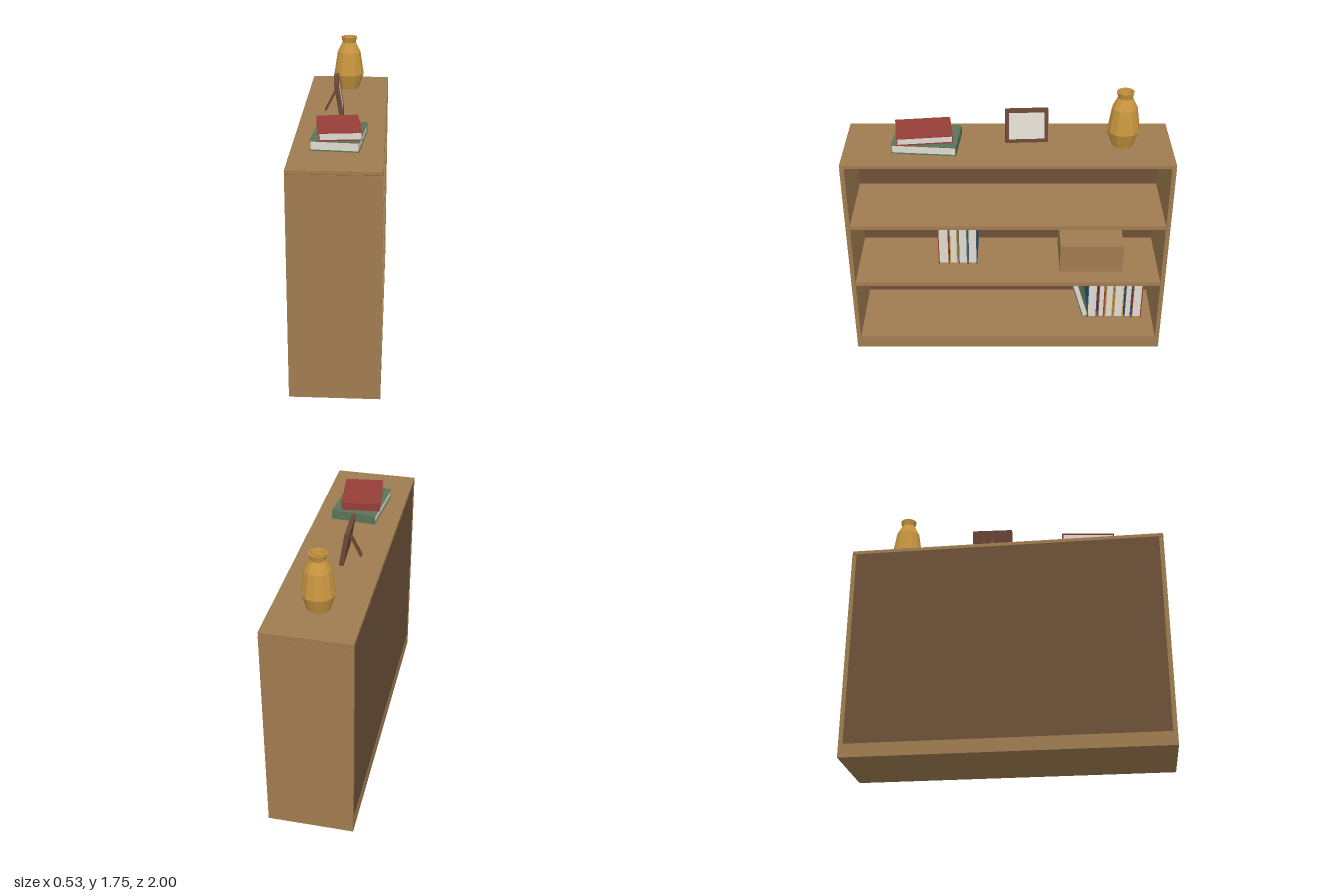
import * as THREE from 'three';
import { RoundedBoxGeometry } from 'three/addons/geometries/RoundedBoxGeometry.js';

const mat = (name, color, extra = {}) => {
  const m = new THREE.MeshStandardMaterial({ color, ...extra });
  m.name = name;
  return m;
};

export function createModel() {
  const wood = mat('wood', 0xa07c50);
  const darkWood = mat('darkWood', 0x6e5138);
  const paper = mat('paper', 0xe0dbd1);
  const red = mat('red', 0x983e38);
  const green = mat('green', 0x5a7558);
  const blue = mat('blue', 0x34557a);
  const gold = mat('gold', 0xc9963f, { flatShading: true });
  const frameBrown = mat('frameBrown', 0x6b4836);

  const model = new THREE.Group();
  model.name = 'bookcase';

  // Box given by its minimum and maximum corners
  const box = (parent, name, material, x0, x1, y0, y1, z0, z1, bevel = 0) => {
    const s = [x1 - x0, y1 - y0, z1 - z0];
    const geo = bevel ? new RoundedBoxGeometry(...s, 1, bevel) : new THREE.BoxGeometry(...s);
    const mesh = new THREE.Mesh(geo, material);
    mesh.name = name;
    mesh.position.set((x0 + x1) / 2, (y0 + y1) / 2, (z0 + z1) / 2);
    parent.add(mesh);
    return mesh;
  };

  // Case, open towards +x
  const D = 0.265;
  const T = 0.027;
  box(model, 'topBoard', wood, -D, D, 1.372, 1.4, -1, 1, 0.005);
  for (const s of [-1, 1]) {
    const c = s * (1 - T / 2);
    box(model, s > 0 ? 'leftSide' : 'rightSide', wood, -D, D, 0, 1.372, c - T / 2, c + T / 2);
  }
  box(model, 'bottomBoard', wood, -D, D, 0, 0.085, -1 + T, 1 - T);
  box(model, 'lowerShelf', wood, -0.25, D - 0.002, 0.505, 0.532, -1 + T, 1 - T);
  box(model, 'upperShelf', wood, -0.25, D - 0.002, 0.938, 0.964, -1 + T, 1 - T);
  box(model, 'backPanel', darkWood, -0.262, -0.246, 0.085, 1.372, -1 + T, 1 - T);

  // Book standing on y = 0 with its spine at -x and its thickness along z
  const makeBook = (name, cover, depth, height, thick) => {
    const g = new THREE.Group();
    g.name = name;
    const c = 0.006, d = depth / 2, t = thick / 2;
    for (const s of [-1, 1]) {
      const z = s * (t - c / 2);
      box(g, 'cover', cover, -d, d, 0, height, z - c / 2, z + c / 2);
    }
    box(g, 'spine', cover, -d, -d + c, 0, height, -t + c, t - c);
    box(g, 'pages', paper, -d + c, d - c, c, height - c, -t + c, t - c);
    return g;
  };

  // Upright books: cover, z range, height
  const shelfRow = (name, floor, books) => {
    const row = new THREE.Group();
    row.name = name;
    for (const [cover, z0, z1, height] of books) {
      const b = makeBook('standingBook', cover, 0.27, height, z0 - z1);
      b.position.set(-0.075, floor, (z0 + z1) / 2);
      row.add(b);
    }
    model.add(row);
  };
  shelfRow('middleBooks', 0.533, [
    [red, 0.453, 0.383, 0.355], [gold, 0.378, 0.328, 0.318],
    [green, 0.322, 0.263, 0.352], [blue, 0.26, 0.2, 0.337],
  ]);
  shelfRow('lowerBooks', 0.086, [
    [blue, -0.535, -0.6, 0.37], [red, -0.608, -0.65, 0.312],
    [gold, -0.656, -0.708, 0.35], [gold, -0.714, -0.778, 0.387],
    [blue, -0.786, -0.832, 0.332], [red, -0.837, -0.902, 0.365],
  ]);

  // Book leaning against the lower row
  const lean = 0.285, leanT = 0.043;
  const leaning = makeBook('leaningBook', green, 0.27, 0.325, leanT);
  leaning.rotation.x = lean;
  leaning.position.set(-0.075, 0.086 + (leanT / 2) * Math.sin(lean), -0.505 - (leanT / 2) * Math.cos(lean));
  model.add(leaning);

  // Storage box on the lower shelf
  box(model, 'storageBox', wood, -0.175, 0.145, 0.533, 0.73, -0.742, -0.335);

  // Two books lying flat on top, spines towards -z
  const lying = (name, cover, depth, width, thick, y, z, turn) => {
    const b = makeBook(name, cover, depth, width, thick);
    b.quaternion.setFromRotationMatrix(new THREE.Matrix4().makeBasis(
      new THREE.Vector3(0, 0, 1), new THREE.Vector3(1, 0, 0), new THREE.Vector3(0, 1, 0)));
    b.position.set(-width / 2, thick / 2, 0);
    const g = new THREE.Group();
    g.name = name;
    g.add(b);
    g.position.set(0, y, z);
    g.rotation.y = turn;
    model.add(g);
  };
  lying('lyingBookBottom', green, 0.393, 0.282, 0.06, 1.4, 0.495, -0.087);
  lying('lyingBookTop', red, 0.338, 0.245, 0.05, 1.46, 0.512, 0.118);

  // Picture frame leaning back on a strut
  const stand = new THREE.Group();
  stand.name = 'pictureFrame';
  stand.position.set(-0.005, 1.4, -0.115);
  stand.rotation.y = 0.05;
  const panel = new THREE.Group();
  panel.name = 'framePanel';
  panel.position.y = 0.004;
  panel.rotation.z = 0.16;
  const W = 0.131, H = 0.213, B = 0.022;
  box(panel, 'frameBack', frameBrown, -0.028, -0.008, 0, H, -W, W);
  for (const s of [-1, 1]) {
    const z = s * (W - B / 2);
    box(panel, 'frameSide', frameBrown, -0.008, 0, 0, H, z - B / 2, z + B / 2);
  }
  box(panel, 'frameBottom', frameBrown, -0.008, 0, 0, B, -W + B, W - B);
  box(panel, 'frameTop', frameBrown, -0.008, 0, H - B, H, -W + B, W - B);
  box(panel, 'picture', paper, -0.008, -0.003, B, H - B, -W + B, W - B);
  stand.add(panel);
  const strut = box(stand, 'frameStrut', frameBrown, -0.006, 0.006, 0, 0.142, -0.016, 0.016);
  strut.position.set(-0.084, 0.07, 0);
  strut.rotation.z = -0.46;
  model.add(stand);

  // Faceted vase with a hollow neck
  const profile = [
    [0, 0], [0.066, 0], [0.1, 0.1], [0.077, 0.25], [0.044, 0.315], [0.053, 0.353],
    [0.044, 0.353], [0.037, 0.315], [0.06, 0.25], [0.08, 0.1], [0.05, 0.02], [0, 0.02],
  ].map(([r, y]) => new THREE.Vector2(r, y));
  const vase = new THREE.Mesh(new THREE.LatheGeometry(profile, 12), gold);
  vase.name = 'vase';
  vase.position.set(0, 1.4, -0.7);
  model.add(vase);

  return model;
}
